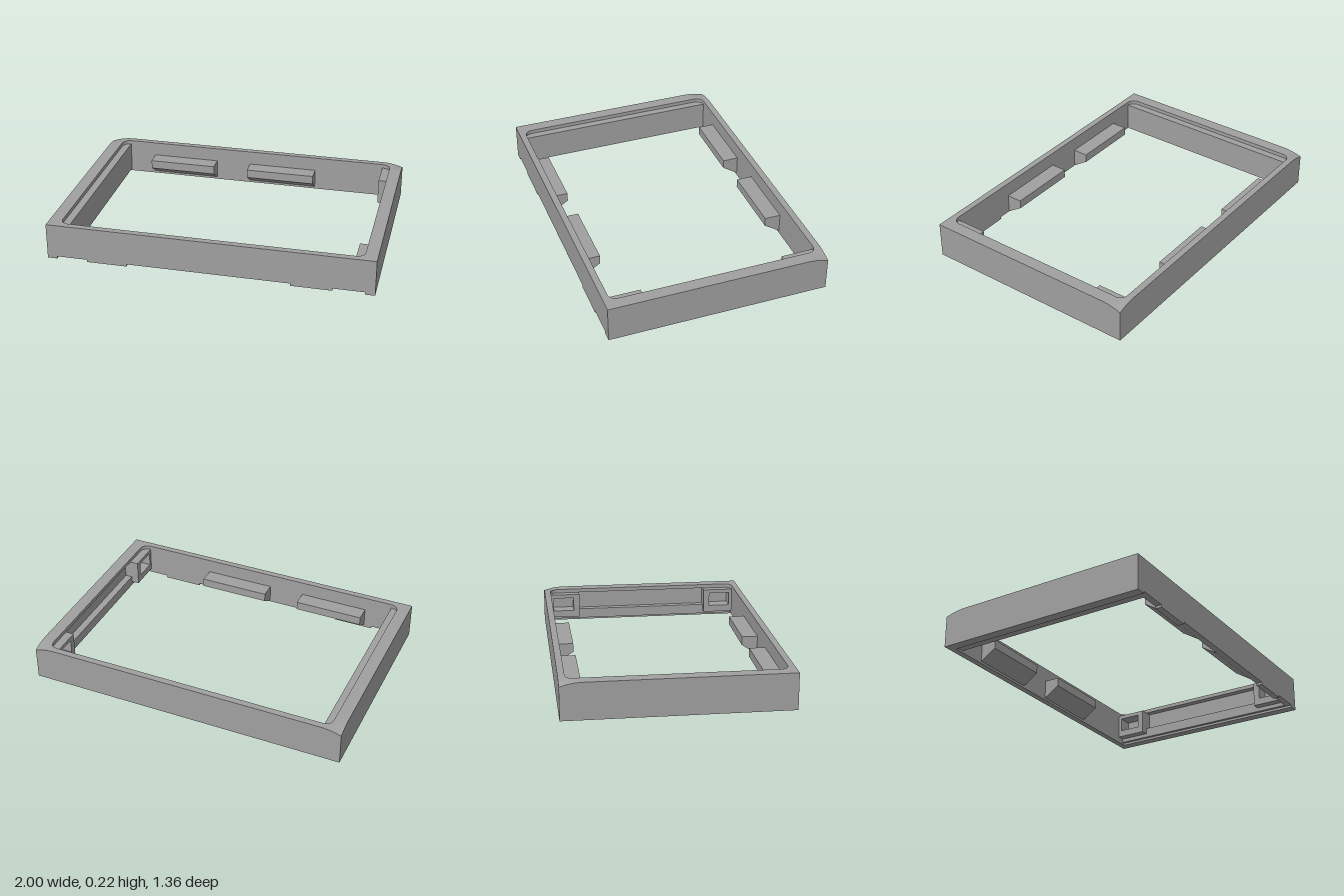
import * as THREE from 'three';
import { toCreasedNormals } from 'three/addons/utils/BufferGeometryUtils.js';

const W = 1, D = 0.68, RAIL = 0.64, TOP = 0.225, LEDGE = 0.2;

export function createModel() {
  const group = new THREE.Group();
  const grey = new THREE.MeshStandardMaterial({ color: 0xa0a0a0 });

  const add = (name, geometry) => {
    const mesh = new THREE.Mesh(geometry, grey);
    mesh.name = name;
    group.add(mesh);
    return mesh;
  };
  const outline = (points) => new THREE.Shape(points.map(([a, b]) => new THREE.Vector2(a, b)));
  // Extrudes an x-y profile from z0 to z1
  const alongZ = (shape, z0, z1) =>
    new THREE.ExtrudeGeometry(shape, { depth: z1 - z0, bevelEnabled: false }).translate(0, 0, z0);
  // Extrudes a profile drawn in (z, y) from x0 to x1
  const alongX = (shape, x0, x1) =>
    new THREE.ExtrudeGeometry(shape, { depth: x1 - x0, bevelEnabled: false })
      .rotateY(-Math.PI / 2).translate(x1, 0, 0);

  add('topRim', rimGeometry());

  // Front rail with shallow notches along its bottom edge
  const n = 0.015;
  add('frontRail', alongZ(outline([
    [-1, 0], [-0.94, 0], [-0.94, n], [-0.75, n], [-0.75, 0], [-0.5, 0], [-0.5, n],
    [0.5, n], [0.5, 0], [0.75, 0], [0.75, n], [0.94, n], [0.94, 0], [1, 0],
    [1, LEDGE], [-1, LEDGE],
  ]), RAIL, D));
  add('backRail', alongZ(outline([[-1, 0], [1, 0], [1, LEDGE], [-1, LEDGE]]), -D, -RAIL));

  // Thick side wall that forms a ledge under the rim
  add('thickSideWall', alongZ(outline([
    [-1, 0], [-0.94, 0], [-0.94, n], [-0.875, n], [-0.875, LEDGE], [-1, LEDGE],
  ]), -RAIL, RAIL));
  // Thin side wall with a long inner pocket
  add('thinSideWall', alongZ(outline([
    [0.92, n], [0.94, n], [0.94, 0], [1, 0], [1, LEDGE], [0.965, LEDGE], [0.965, 0.08], [0.92, 0.08],
  ]), -RAIL, RAIL));

  for (const s of [1, -1]) {
    // Support brackets with sloping undersides
    const z = (v) => s * v;
    const profile = [[z(0.54), 0.08], [z(RAIL), 0.015], [z(RAIL), 0.135], [z(0.54), 0.135]];
    for (const [x0, x1] of [[-0.7, -0.26], [-0.03, 0.42]]) {
      add('supportBracket', alongX(outline(profile), x0, x1));
    }
    // Corner stops with a rectangular pocket
    const stop = outline([[z(0.44), 0.04], [z(RAIL), 0.04], [z(RAIL), LEDGE], [z(0.44), LEDGE]]);
    stop.holes.push(new THREE.Path([[0.48, 0.085], [0.48, 0.175], [0.62, 0.175], [0.62, 0.085]]
      .map(([a, b]) => new THREE.Vector2(z(a), b))));
    add('cornerStop', alongX(stop, 0.87, 0.965));
  }
  return group;
}

// Rim lofted between the square outside and the rounded opening; back corners dip softly
function rimGeometry() {
  const r = 0.05, coreX = 0.873, coreZ = RAIL - r, steps = 8, across = 6;
  const stations = (half, core) => {
    const list = [];
    for (let i = 0; i <= steps; i++) list.push(half - (half - core) * i / steps);
    list.push(core - 0.03, core - 0.06);
    return [...list, ...list.map((v) => -v).reverse()];
  };
  const xs = stations(W, coreX), zs = stations(D, coreZ);
  const loop = [
    ...xs.slice(0, -1).map((x) => [x, D]),
    ...zs.slice(0, -1).map((z) => [-W, z]),
    ...xs.slice(0, -1).map((x) => [-x, -D]),
    ...zs.slice(0, -1).map((z) => [W, -z]),
  ];
  const height = (x, z) => {
    const t = Math.max(0, 1 - Math.hypot(W - Math.abs(x), z + D) / 0.135);
    return TOP - 0.024 * t * t;
  };
  const position = [], index = [];
  const rows = across + 3;
  for (const [x, z] of loop) {
    const cx = THREE.MathUtils.clamp(x, -coreX, coreX);
    const cz = THREE.MathUtils.clamp(z, -coreZ, coreZ);
    const k = r / Math.hypot(x - cx, z - cz);
    const ix = cx + (x - cx) * k, iz = cz + (z - cz) * k;
    position.push(x, LEDGE, z);
    for (let j = 0; j <= across; j++) {
      const px = x + (ix - x) * j / across, pz = z + (iz - z) * j / across;
      position.push(px, height(px, pz), pz);
    }
    position.push(ix, LEDGE, iz);
  }
  for (let i = 0; i < loop.length; i++) {
    for (let j = 0; j < rows; j++) {
      const i2 = (i + 1) % loop.length, j2 = (j + 1) % rows;
      const a = i * rows + j, b = i * rows + j2, c = i2 * rows + j, d = i2 * rows + j2;
      index.push(a, b, c, c, b, d);
    }
  }
  const geometry = new THREE.BufferGeometry();
  geometry.setAttribute('position', new THREE.Float32BufferAttribute(position, 3));
  geometry.setIndex(index);
  return toCreasedNormals(geometry, 0.5);
}
